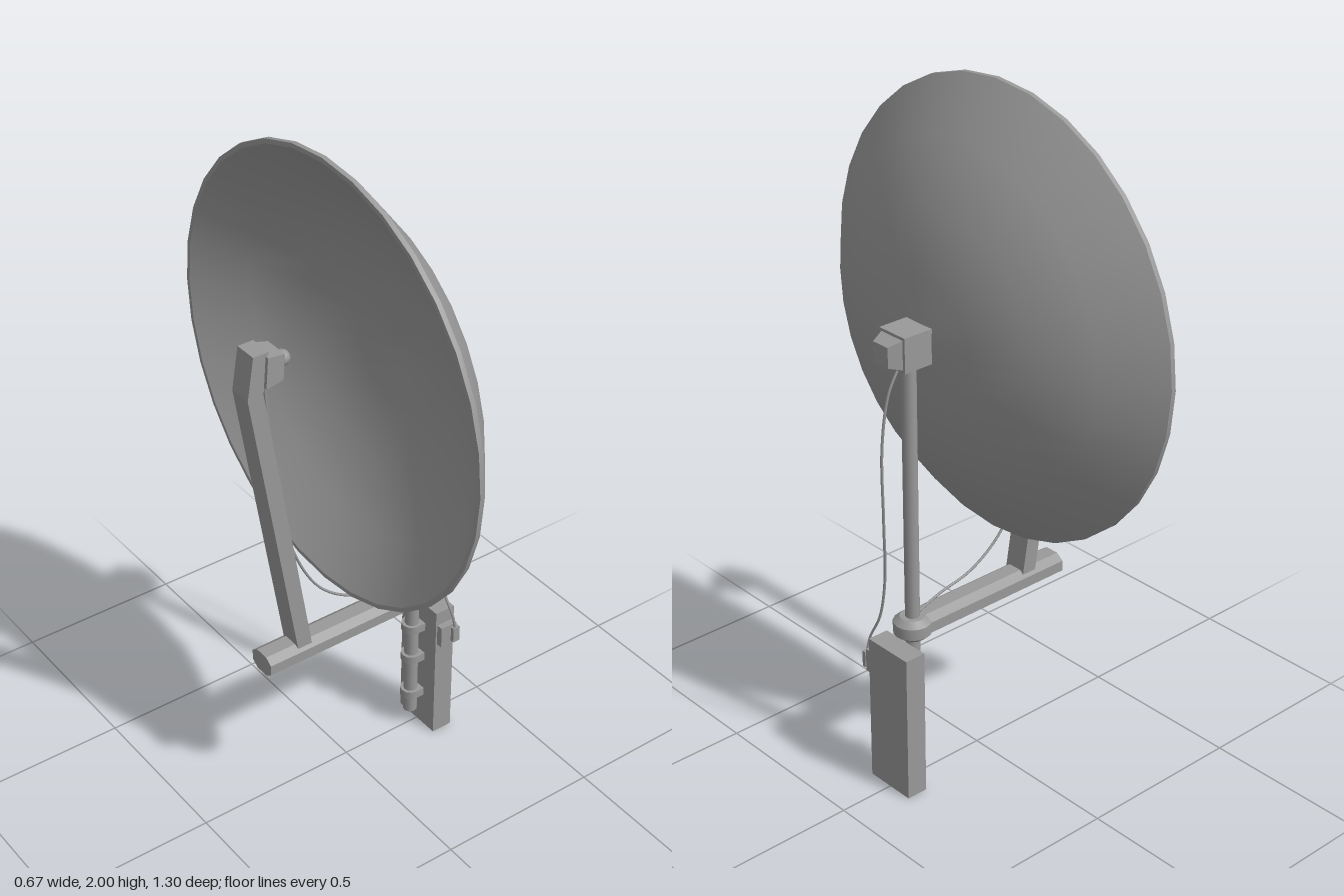
import * as THREE from 'three';
import { toCreasedNormals } from 'three/addons/utils/BufferGeometryUtils.js';

const grey = new THREE.MeshStandardMaterial({ color: 0x999999 });
grey.name = 'paintedMetal';

export function createModel() {
  const model = new THREE.Group();
  model.name = 'satelliteDish';

  const add = (name, geometry, x = 0, y = 0, z = 0, parent = model) => {
    const mesh = new THREE.Mesh(geometry, grey);
    mesh.name = name;
    mesh.position.set(x, y, z);
    parent.add(mesh);
    return mesh;
  };
  const box = (name, x0, x1, y0, y1, z0, z1) =>
    add(name, new THREE.BoxGeometry(x1 - x0, y1 - y0, z1 - z0),
      (x0 + x1) / 2, (y0 + y1) / 2, (z0 + z1) / 2);
  const lathe = (points, sides) =>
    new THREE.LatheGeometry(points.map(([r, y]) => new THREE.Vector2(r, y)), sides);
  const polygon = (points, depth) =>
    new THREE.ExtrudeGeometry(new THREE.Shape(points.map(([a, b]) => new THREE.Vector2(a, b))),
      { depth, bevelEnabled: false });
  // Square block narrowing toward +x
  const taper = (back, front, length) =>
    toCreasedNormals(new THREE.CylinderGeometry(front * Math.SQRT2, back * Math.SQRT2, length, 4)
      .rotateY(Math.PI / 4).rotateZ(-Math.PI / 2), 0.3);
  const cable = (name, points) => {
    const curve = new THREE.CatmullRomCurve3(points.map((p) => new THREE.Vector3(...p)));
    add(name, new THREE.TubeGeometry(curve, 48, 0.004, 6));
  };

  // Dish: curved back, hollow face and narrow rim, with its axis along x
  const dish = new THREE.Group();
  dish.name = 'dish';
  dish.position.y = 1.35;
  dish.rotation.z = -Math.PI / 2;
  model.add(dish);
  const bowl = [[0.65, -0.062], [0.51, 0.052], [0.355, 0.138], [0.18, 0.19], [0, 0.206]];
  const hollow = [[0, 0.19], [0.18, 0.174], [0.35, 0.122], [0.5, 0.038], [0.637, -0.076]];
  const rim = [[0.637, -0.076], [0.65, -0.076], [0.65, -0.062]];
  add('dishBack', lathe(bowl, 32), 0, 0, 0, dish);
  add('dishFace', lathe(hollow, 32), 0, 0, 0, dish);
  add('dishRim', toCreasedNormals(lathe(rim, 32), 0.6), 0, 0, 0, dish);

  // Mast and dish mount
  add('mast', new THREE.CylinderGeometry(0.021, 0.021, 1.25, 12), 0.238, 0.68, 0);
  box('dishMount', 0.2, 0.292, 1.3, 1.4, -0.05, 0.05);
  add('mountCap', taper(0.042, 0.029, 0.04), 0.311, 1.35, 0);

  // Horizontal boom with an eight-sided section, and the collar round the mast
  const section = [[-0.045, -0.016], [-0.022, -0.033], [0.022, -0.033], [0.045, -0.016],
    [0.045, 0.016], [0.022, 0.033], [-0.022, 0.033], [-0.045, 0.016]];
  add('boom', polygon(section, 0.53).rotateY(Math.PI / 2), -0.292, 0.498, 0);
  const collar = [[0, -0.033], [0.036, -0.033], [0.055, -0.017], [0.055, 0.017], [0.036, 0.033], [0, 0.033]];
  add('mastCollar', toCreasedNormals(lathe(collar, 16), 0.5), 0.238, 0.498, 0);

  // Bent feed support and receiver
  const support = [[-0.192, 0.52], [-0.145, 0.52], [-0.287, 1.41], [-0.267, 1.53], [-0.315, 1.53], [-0.335, 1.405]];
  add('feedSupport', polygon(support, 0.07), 0, 0, -0.035);
  add('feedHead', taper(0.046, 0.038, 0.058), -0.252, 1.472, 0).rotation.z = -0.08;
  add('feedNeck', new THREE.CylinderGeometry(0.012, 0.012, 0.03, 10).rotateZ(Math.PI / 2), -0.22, 1.472, 0);
  add('feedBall', new THREE.SphereGeometry(0.023, 12, 8), -0.205, 1.472, 0);

  // Electronics box, its socket and the clamps on the mast
  box('electronicsBox', 0.265, 0.33, 0, 0.455, -0.08, 0.08);
  box('cableSocket', 0.27, 0.325, 0.34, 0.41, 0.08, 0.1);
  box('cablePlug', 0.305, 0.328, 0.35, 0.4, 0.1, 0.112);
  for (const y of [0.375, 0.262, 0.125]) {
    add('mastClamp', new THREE.CylinderGeometry(0.031, 0.031, 0.026, 12), 0.238, y, 0);
    box('clampBracket', 0.238, 0.267, y - 0.013, y + 0.013, -0.03, 0.03);
  }

  // Cables
  cable('feedCable', [[-0.262, 1.43, 0], [-0.235, 1.12, 0], [-0.18, 0.84, 0], [-0.09, 0.67, 0],
    [0.02, 0.59, 0], [0.14, 0.56, 0], [0.225, 0.53, 0]]);
  cable('mountCable', [[0.265, 1.305, 0], [0.305, 1.23, 0.002], [0.326, 1.08, 0.008], [0.318, 0.85, 0.018],
    [0.302, 0.65, 0.038], [0.3, 0.52, 0.066], [0.31, 0.44, 0.1], [0.318, 0.37, 0.108]]);

  return model;
}
